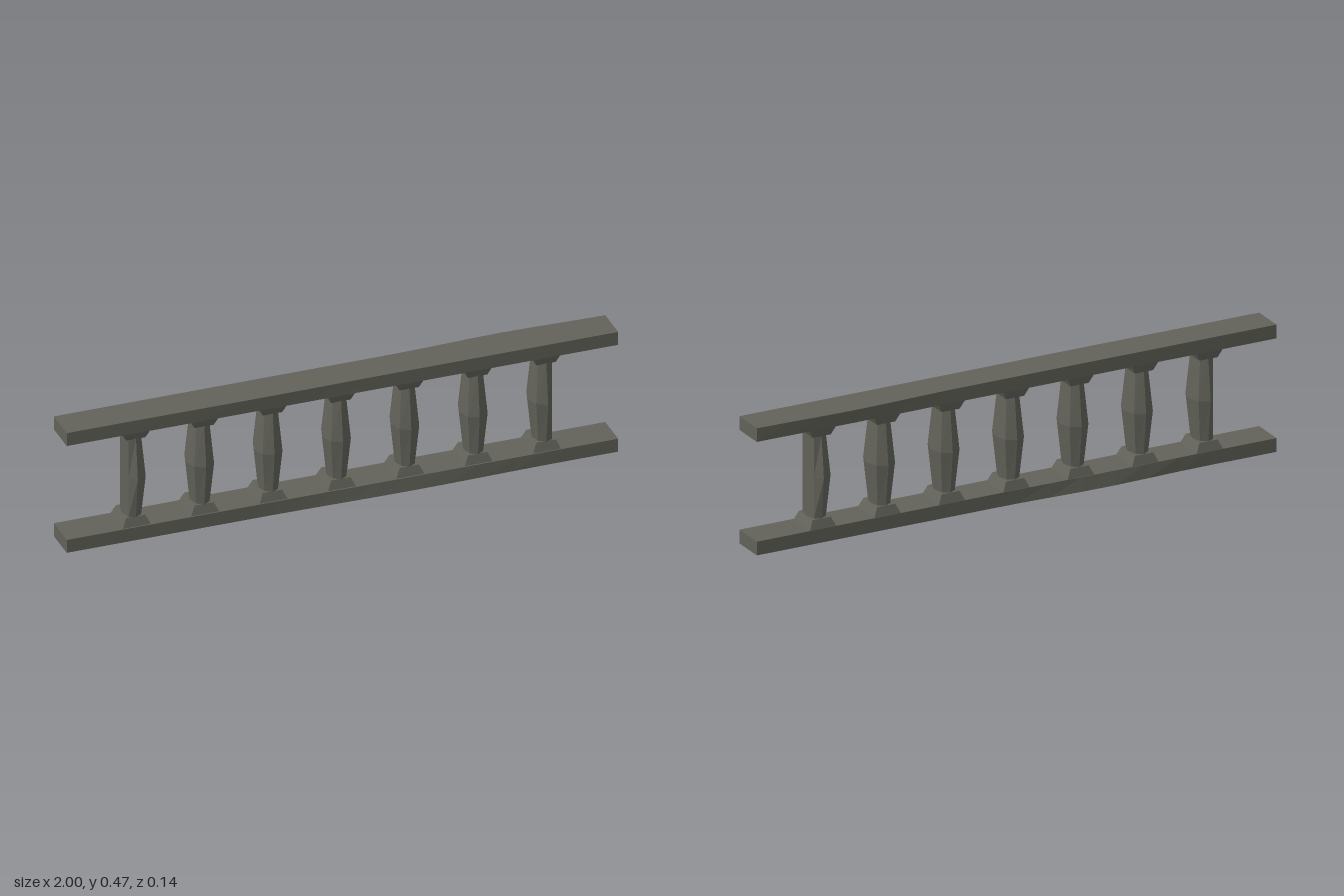
import * as THREE from 'three';

const stone = new THREE.MeshStandardMaterial({ color: 0x62625a, flatShading: true });
stone.name = 'grey stone';

// Smooth hump centred at c with half-width w
const hump = (x, c, w) => {
  const t = Math.min(1, Math.abs(x - c) / w);
  return 0.5 + 0.5 * Math.cos(Math.PI * t);
};

// Move every vertex of a geometry by a rule
function reshape(geometry, rule) {
  const p = geometry.attributes.position;
  const v = new THREE.Vector3();
  for (let i = 0; i < p.count; i++) {
    v.fromBufferAttribute(p, i);
    rule(v);
    p.setXYZ(i, v.x, v.y, v.z);
  }
  geometry.computeVertexNormals();
  return geometry;
}

function part(name, geometry, x = 0, y = 0) {
  const mesh = new THREE.Mesh(geometry, stone);
  mesh.name = name;
  mesh.position.set(x, y, 0);
  return mesh;
}

// Long beam with worn, slightly swollen edges; flare says which edge swells
function rail(name, y, flareTop, backAt, frontAt, frontSize) {
  const g = reshape(new THREE.BoxGeometry(2, 0.05, 0.125, 16, 1, 1), (v) => {
    const edge = (v.y > 0) === flareTop ? 1 : 0.15;
    if (v.z > 0) v.z += 0.002 + frontSize * edge * hump(v.x, frontAt, 0.55);
    else v.z += 0.002 - 0.011 * edge * hump(v.x, backAt, 0.4);
  });
  return part(name, g, 0, y);
}

// Square tapered block between rail and shaft
function block(name, x, y, up) {
  const g = reshape(new THREE.BoxGeometry(1, 0.034, 1), (v) => {
    const narrow = (v.y > 0) === up;
    v.x *= narrow ? 0.07 : 0.102;
    v.z *= narrow ? 0.098 : 0.12;
  });
  return part(name, g, x, y);
}

// Eight-sided shaft, widest at mid-height; end shafts stay straight outside
function shaft(x, outer) {
  const g = reshape(new THREE.CylinderGeometry(1, 1, 0.304, 8, 2), (v) => {
    const mid = Math.abs(v.y) < 0.01;
    const straight = outer !== 0 && v.x * outer > 0.01;
    const swell = mid && !straight;
    v.x *= swell ? 0.051 : 0.034;
    v.z = v.z * (swell ? 0.067 : 0.05) + 0.002;
    if (straight && Math.abs(v.z) > 0.02) v.z *= 1.15;
  });
  return part('shaft', g, x, 0.234);
}

export function createModel() {
  const model = new THREE.Group();
  model.name = 'balustrade';

  model.add(rail('bottomRail', 0.025, false, -0.33, 0.25, 0.007));
  model.add(rail('topRail', 0.44, true, 0.62, -0.3, 0.003));

  // Seven evenly spaced balusters
  for (let i = -3; i <= 3; i++) {
    const x = i * 0.248;
    const baluster = new THREE.Group();
    baluster.name = 'baluster';
    baluster.add(block('base', x, 0.066, true));
    baluster.add(shaft(x, Math.abs(i) === 3 ? Math.sign(i) : 0));
    baluster.add(block('capital', x, 0.401, false));
    model.add(baluster);
  }
  return model;
}
